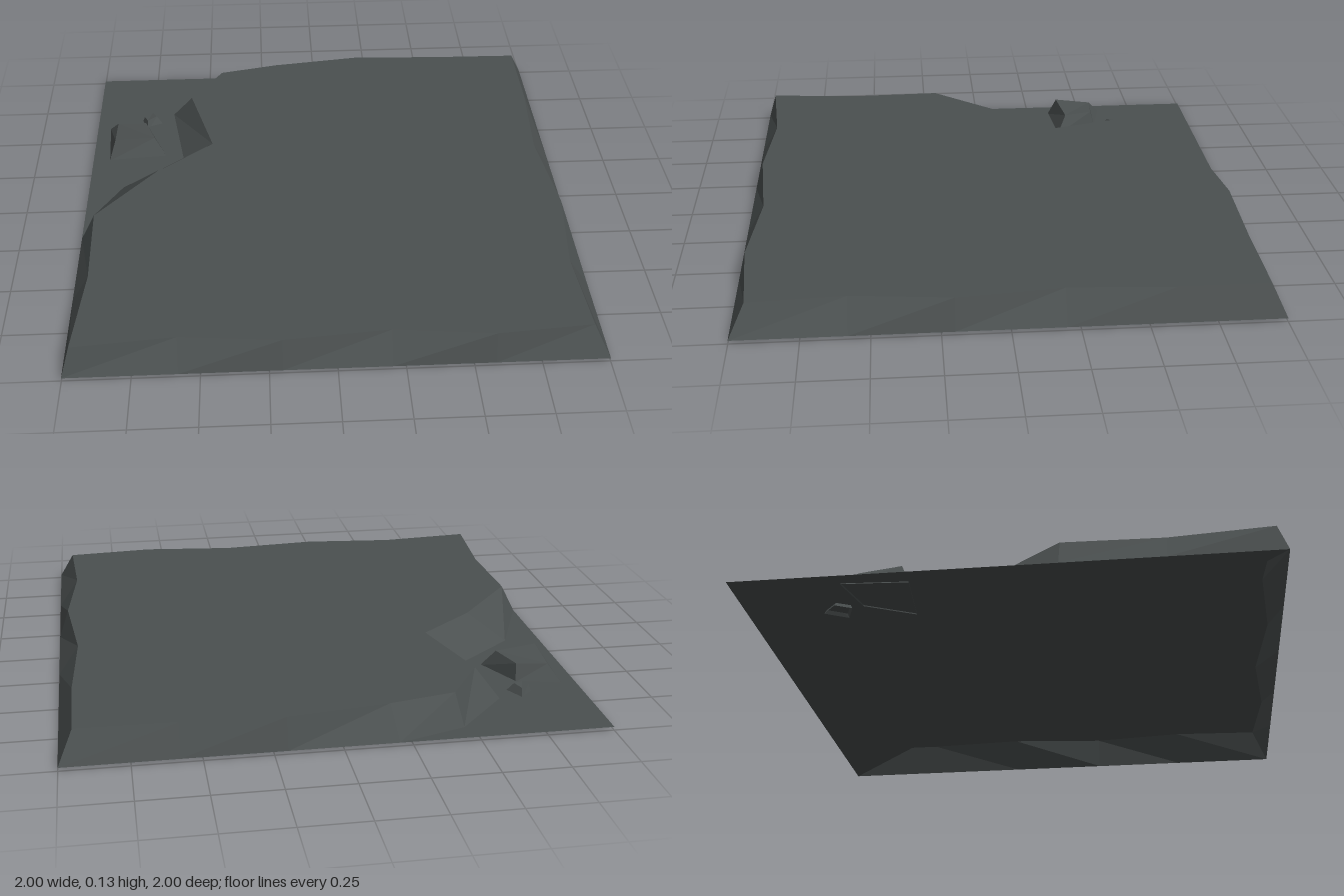
import * as THREE from 'three';

const FLOOR = 0.013, TOP = 0.13;

// Sloped block between two matching [x, z] outlines (clockwise seen from above),
// open underneath. heights is one top height or one per corner.
function slopedBlock(base, top, baseY, heights) {
  const n = base.length, pos = [];
  const lower = (i) => [base[i % n][0], baseY, base[i % n][1]];
  const upper = (i) => {
    const k = i % n;
    return [top[k][0], Array.isArray(heights) ? heights[k] : heights, top[k][1]];
  };
  for (let i = 0; i < n; i++) {
    pos.push(...lower(i), ...upper(i), ...lower(i + 1));
    pos.push(...lower(i + 1), ...upper(i), ...upper(i + 1));
  }
  // top cap, every triangle turned to face up
  const pts = top.map(([x, z]) => new THREE.Vector2(x, z));
  for (const [a, b, c] of THREE.ShapeUtils.triangulateShape(pts, [])) {
    const A = pts[a], B = pts[b], C = pts[c];
    const up = (B.y - A.y) * (C.x - A.x) - (B.x - A.x) * (C.y - A.y) > 0;
    pos.push(...upper(a), ...upper(up ? b : c), ...upper(up ? c : b));
  }
  return toGeometry(pos);
}

function toGeometry(pos) {
  const g = new THREE.BufferGeometry();
  g.setAttribute('position', new THREE.Float32BufferAttribute(pos, 3));
  g.computeVertexNormals();
  return g;
}

export function createModel() {
  const group = new THREE.Group();
  const stone = new THREE.MeshStandardMaterial({
    name: 'dark grey stone', color: 0x4b5050, flatShading: true, side: THREE.DoubleSide,
  });
  const add = (name, geometry) => {
    const mesh = new THREE.Mesh(geometry, stone);
    mesh.name = name;
    group.add(mesh);
  };

  // Slab with worn edges and a broken back corner: [base x, base z, top x, top z]
  const edge = [
    // right side, back to front
    [1, -1, 0.945, -0.945], [1, -0.6, 0.945, -0.6], [1, -0.2, 0.92, -0.2],
    [1, 0.2, 0.96, 0.2], [1, 0.58, 0.92, 0.58],
    // front
    [1, 1, 0.94, 0.94], [0.58, 1, 0.58, 0.97], [0.2, 1, 0.2, 0.93],
    [-0.2, 1, -0.2, 0.965], [-0.58, 1, -0.58, 0.93],
    // left side
    [-1, 1, -0.965, 0.965], [-1, 0.58, -0.93, 0.58], [-1, 0.2, -0.94, 0.2],
    // broken corner
    [-0.855, -0.14, -0.7, -0.09], [-0.605, -0.345, -0.47, -0.28],
    [-0.66, -0.695, -0.57, -0.65], [-0.46, -0.915, -0.435, -0.86],
    // back
    [-0.2, -1, -0.18, -0.915], [0.2, -1, 0.2, -0.965], [0.58, -1, 0.58, -0.95],
  ];
  add('slab', slopedBlock(edge.map((p) => [p[0], p[1]]), edge.map((p) => [p[2], p[3]]), FLOOR, TOP));

  // Ground under the broken corner
  add('cornerFloor', toGeometry([-1, FLOOR, -1, -1, FLOOR, 1, 1, FLOOR, -1]));

  // Loose rubble
  add('largeRock', slopedBlock(
    [[-0.945, -0.595], [-0.77, -0.55], [-0.68, -0.365], [-0.93, -0.345]],
    [[-0.9, -0.54], [-0.775, -0.53], [-0.73, -0.405], [-0.9, -0.38]],
    0.009, [0.075, 0.08, 0.085, 0.095]));
  add('smallRock', slopedBlock(
    [[-0.745, -0.705], [-0.7, -0.62], [-0.775, -0.59], [-0.805, -0.65]],
    [[-0.755, -0.675], [-0.735, -0.635], [-0.775, -0.61], [-0.79, -0.64]],
    0, [0.04, 0.045, 0.04, 0.04]));

  return group;
}
